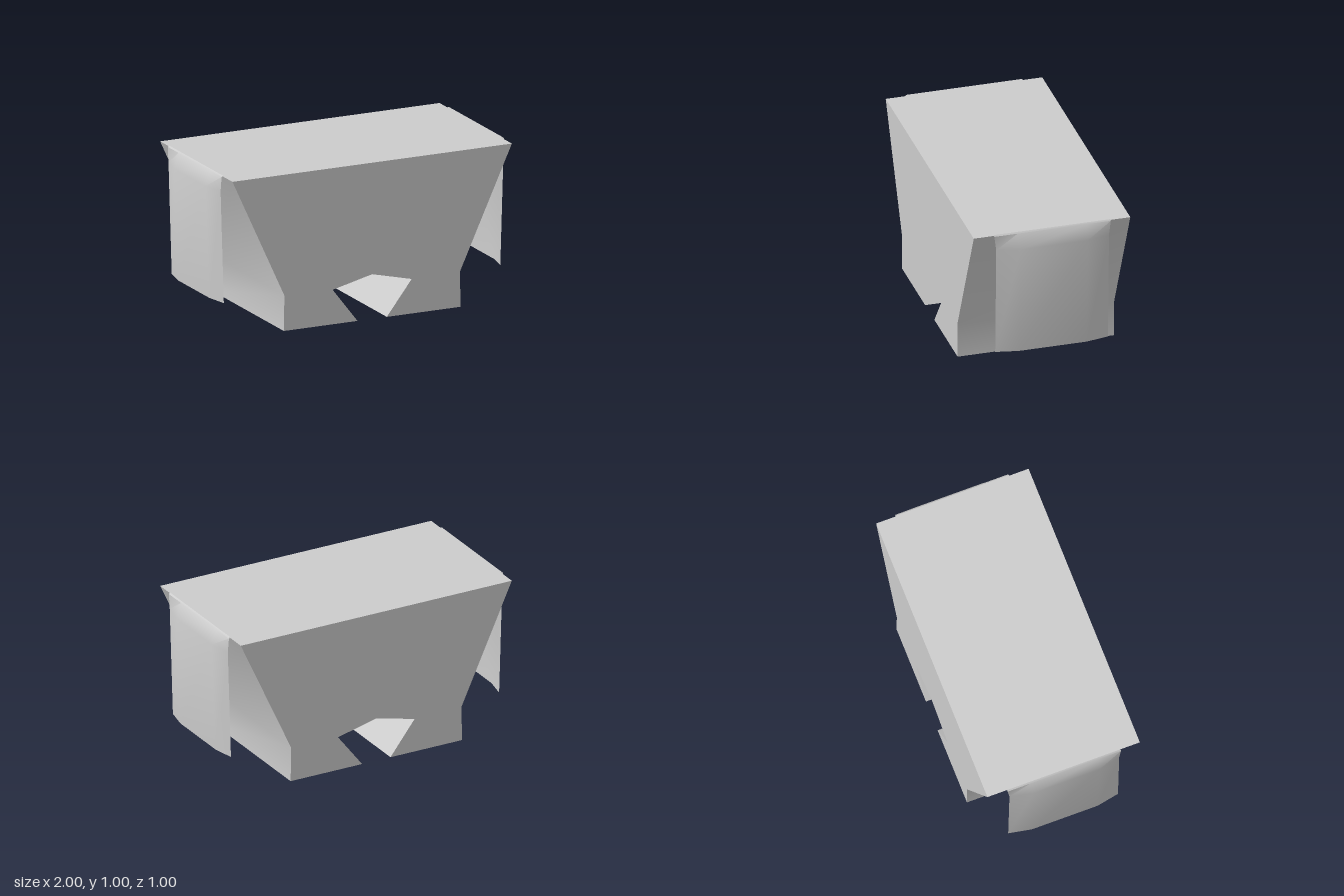
import * as THREE from 'three';
import { toCreasedNormals } from 'three/addons/utils/BufferGeometryUtils.js';

const CREASE = 0.6;

// Half outline of the block, from the top corner round to the peak of the notch
const HALF = [[0.955, 0.996], [0.6, 0.225], [0.604, 0], [0.1, 0], [0.27, 0.22], [0, 0.285]];

function makeBody() {
  const left = HALF.slice(0, -1).map(([x, y]) => [-x, y]).reverse();
  const outline = [...HALF, ...left].map(([x, y]) => new THREE.Vector2(x, y));
  const geometry = new THREE.ExtrudeGeometry(new THREE.Shape(outline), { depth: 1, bevelEnabled: false });
  geometry.translate(0, 0, -0.5);
  return toCreasedNormals(geometry, CREASE);
}

// Rows of the cloth from the hem up to the top edge: x, y, half width, outward bow
const ROWS = [
  [0.945, 0.185, 0.36, 0.028],
  [0.967, 0.9, 0.36, 0.033],
  [0.966, 0.995, 0.372, 0],
  [0.957, 1.003, 0.372, 0],
];

function makeCloth() {
  const rows = [
    ...ROWS.map(([x, y, w, bow]) => [-x, y, w, -bow]),
    ...ROWS.map((r) => [...r]).reverse(),
  ];
  const positions = [];
  const index = [];
  const columns = [-1, -0.6, 0.6, 1];
  rows.forEach(([x, y, w, bow], i) => {
    columns.forEach((c, j) => {
      positions.push(x + (Math.abs(c) < 1 ? bow : 0), y, c * w);
      if (i === 0 || j === 0) return;
      const d = i * 4 + j;
      index.push(d - 5, d - 4, d, d - 5, d, d - 1);
    });
  });
  const geometry = new THREE.BufferGeometry();
  geometry.setAttribute('position', new THREE.Float32BufferAttribute(positions, 3));
  geometry.setIndex(index);
  return toCreasedNormals(geometry, CREASE);
}

export function createModel() {
  const model = new THREE.Group();
  model.name = 'drapedBlock';

  // Tapered block with a notch between its feet
  const body = new THREE.Mesh(makeBody(), new THREE.MeshStandardMaterial({ color: 0xcccccc }));
  body.name = 'body';

  // Thin cloth over the top with a bowed flap hanging at each end
  const cloth = new THREE.Mesh(
    makeCloth(),
    new THREE.MeshStandardMaterial({ color: 0xcccccc, side: THREE.DoubleSide })
  );
  cloth.name = 'cloth';

  model.add(body, cloth);
  return model;
}
